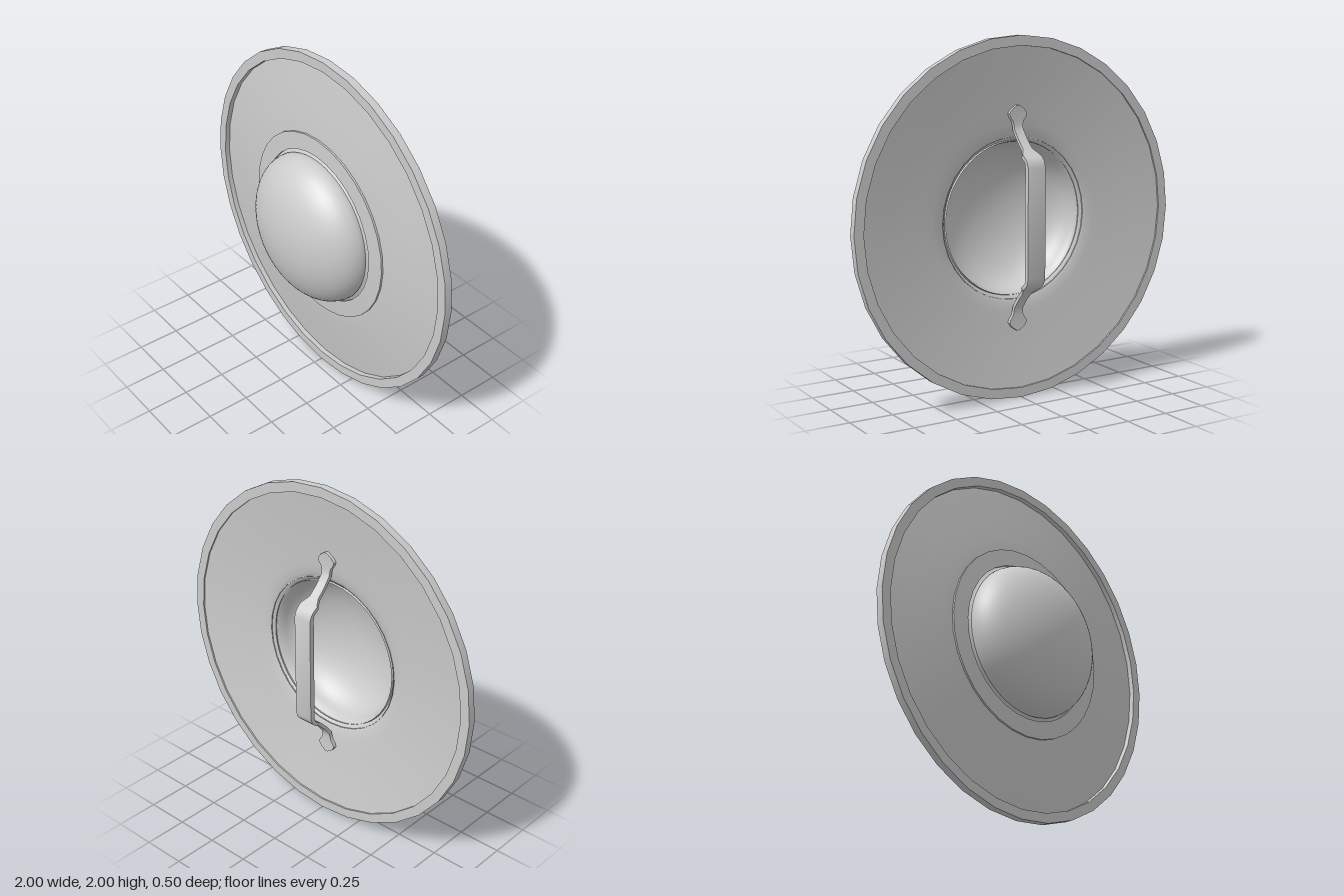
import * as THREE from 'three';
import { toCreasedNormals } from 'three/addons/utils/BufferGeometryUtils.js';

const material = new THREE.MeshStandardMaterial({ color: 0xcccccc, side: THREE.DoubleSide });

// Lathe around the z axis from [radius, z] pairs
function turned(name, points, segments, crease = 0.5) {
  const lathe = new THREE.LatheGeometry(points.map(([r, z]) => new THREE.Vector2(r, z)), segments);
  lathe.rotateX(Math.PI / 2);
  const mesh = new THREE.Mesh(toCreasedNormals(lathe, crease), material);
  mesh.name = name;
  return mesh;
}

// Quarter ellipse from the edge to the pole, as [radius, z] pairs
function quarterEllipse(radius, base, height, steps) {
  return Array.from({ length: steps + 1 }, (_, i) => {
    const a = (i / steps) * Math.PI / 2;
    return [i === steps ? 0 : radius * Math.cos(a), base + height * Math.sin(a)];
  });
}

// Flat strap swept along [y, z, halfWidth, thickness] stations
function strap(stations) {
  const positions = [], index = [];
  stations.forEach(([y, z, w, t], i) => {
    const a = stations[Math.max(i - 1, 0)], b = stations[Math.min(i + 1, stations.length - 1)];
    const dy = b[0] - a[0], dz = b[1] - a[1], len = Math.hypot(dy, dz);
    const ny = (-dz / len) * t / 2, nz = (dy / len) * t / 2;
    positions.push(-w, y + ny, z + nz, w, y + ny, z + nz, w, y - ny, z - nz, -w, y - ny, z - nz);
    if (i === 0) return;
    const p = (i - 1) * 4, q = i * 4;
    for (let k = 0; k < 4; k++) {
      const n = (k + 1) % 4;
      index.push(p + k, p + n, q + n, p + k, q + n, q + k);
    }
  });
  const e = (stations.length - 1) * 4;
  index.push(0, 2, 1, 0, 3, 2, e, e + 1, e + 2, e, e + 2, e + 3);
  const geometry = new THREE.BufferGeometry();
  geometry.setAttribute('position', new THREE.Float32BufferAttribute(positions, 3));
  geometry.setIndex(index);
  return toCreasedNormals(geometry, 0.6);
}

export function createModel() {
  const shield = new THREE.Group();
  shield.name = 'roundShield';

  // Square-section rim
  shield.add(turned('rim',
    [[0.945, -0.1], [1, -0.1], [1, -0.055], [0.945, -0.055], [0.945, -0.1]], 32));

  // Shallow dished face
  shield.add(turned('face',
    [[0.95, -0.085], [0.75, -0.054], [0.62, -0.036], [0.54, -0.028], [0.45, -0.024]], 32));

  // Raised collar around the boss
  shield.add(turned('collar',
    [[0.55, -0.032], [0.55, -0.018], [0.452, -0.012], [0.452, -0.03]], 32));

  // Domed boss
  shield.add(turned('boss', [[0.428, -0.02], ...quarterEllipse(0.435, 0, 0.25, 18)], 64));

  // Hollow back, running smoothly into the inside of the boss
  const hollow = [[0.95, -0.092], [0.75, -0.064], [0.6, -0.046], [0.52, -0.038], [0.47, -0.03],
    [0.44, -0.018], [0.42, 0.005], ...quarterEllipse(0.412, 0.02, 0.218, 14).slice(1)];
  shield.add(turned('hollowBack', hollow, 64, 0.7));

  // Hand grip: flared end plate, narrow neck, bend and wide bar, mirrored top to bottom
  const half = [
    [0.625, -0.056, 0.008, 0.02], [0.605, -0.055, 0.038, 0.02], [0.58, -0.054, 0.056, 0.02],
    [0.56, -0.054, 0.05, 0.02], [0.54, -0.054, 0.034, 0.02], [0.515, -0.055, 0.028, 0.02],
    [0.49, -0.061, 0.028, 0.02], [0.44, -0.1, 0.028, 0.02], [0.39, -0.15, 0.03, 0.02],
    [0.373, -0.173, 0.043, 0.02], [0.36, -0.19, 0.055, 0.02], [0.346, -0.212, 0.055, 0.022],
    [0.328, -0.228, 0.055, 0.024], [0.3, -0.235, 0.055, 0.03],
  ];
  const stations = [...half, ...half.slice().reverse().map(([y, ...rest]) => [-y, ...rest])];
  const grip = new THREE.Mesh(strap(stations), material);
  grip.name = 'handGrip';
  shield.add(grip);

  shield.children.forEach((part) => { part.position.y = 1; });
  return shield;
}
